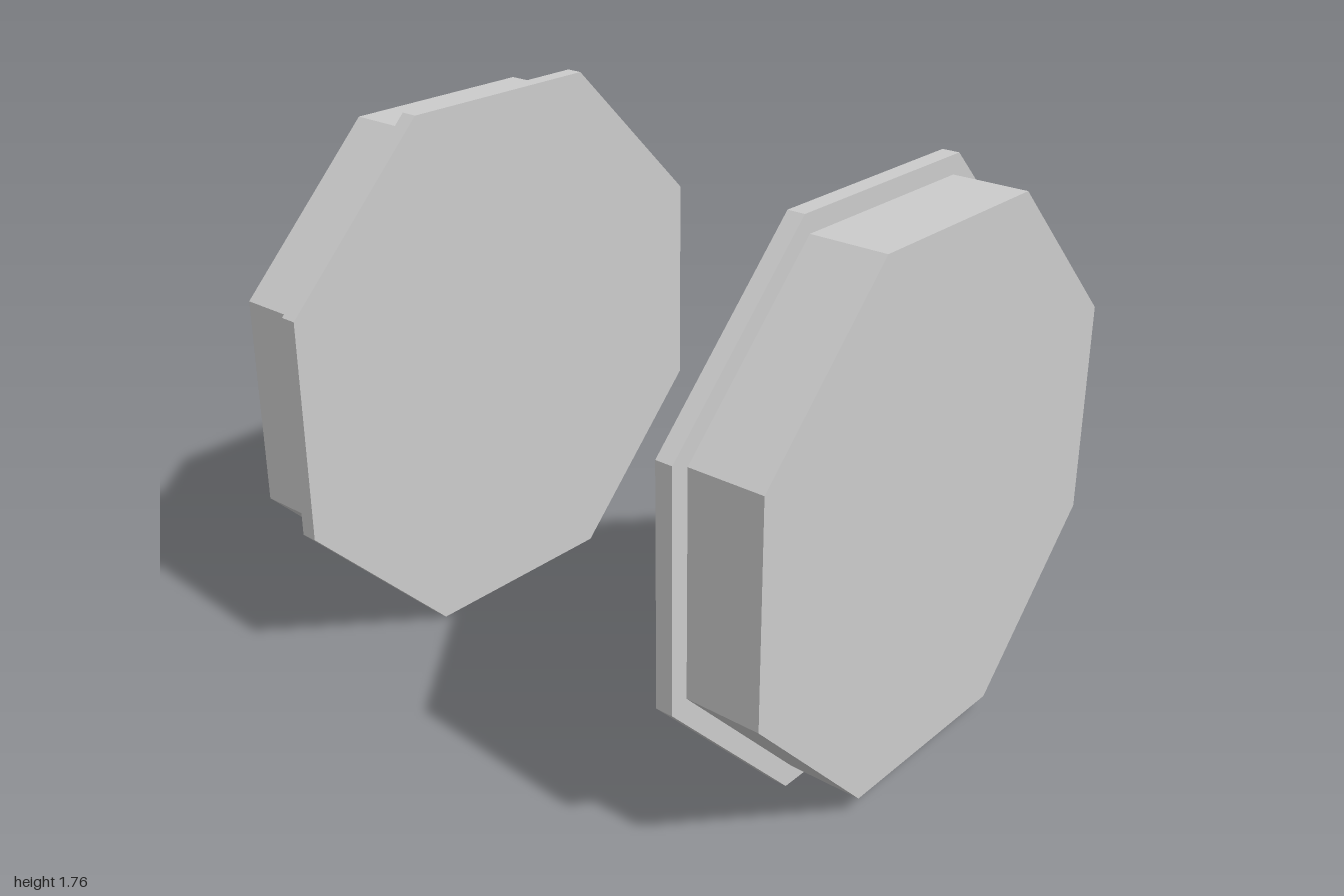
import * as THREE from 'three';

const APOTHEM_TO_RADIUS = 1 / Math.cos(Math.PI / 8);
const AXLE_HEIGHT = 0.882;

// Solid octagonal disc along x, with flats at top, bottom, front and back
function octagonDisc(name, apothem, xInner, xOuter, material) {
  const radius = apothem * APOTHEM_TO_RADIUS;
  const geometry = new THREE.CylinderGeometry(radius, radius, xOuter - xInner, 8, 1, false, Math.PI / 8);
  geometry.rotateZ(Math.PI / 2);
  const mesh = new THREE.Mesh(geometry, material);
  mesh.name = name;
  mesh.position.x = (xInner + xOuter) / 2;
  return mesh;
}

export function createModel() {
  const material = new THREE.MeshStandardMaterial({ color: 0xcccccc, flatShading: true });
  const model = new THREE.Group();
  model.name = 'wheelPair';

  // Two flanged wheels, the right one turned half round to mirror the left
  for (const [name, turn] of [['leftWheel', 0], ['rightWheel', Math.PI]]) {
    const wheel = new THREE.Group();
    wheel.name = name;
    wheel.add(
      octagonDisc('flange', 0.882, 0.705, 0.76, material),
      octagonDisc('tread', 0.823, 0.76, 1, material)
    );
    wheel.position.y = AXLE_HEIGHT;
    wheel.rotation.y = turn;
    model.add(wheel);
  }
  return model;
}
